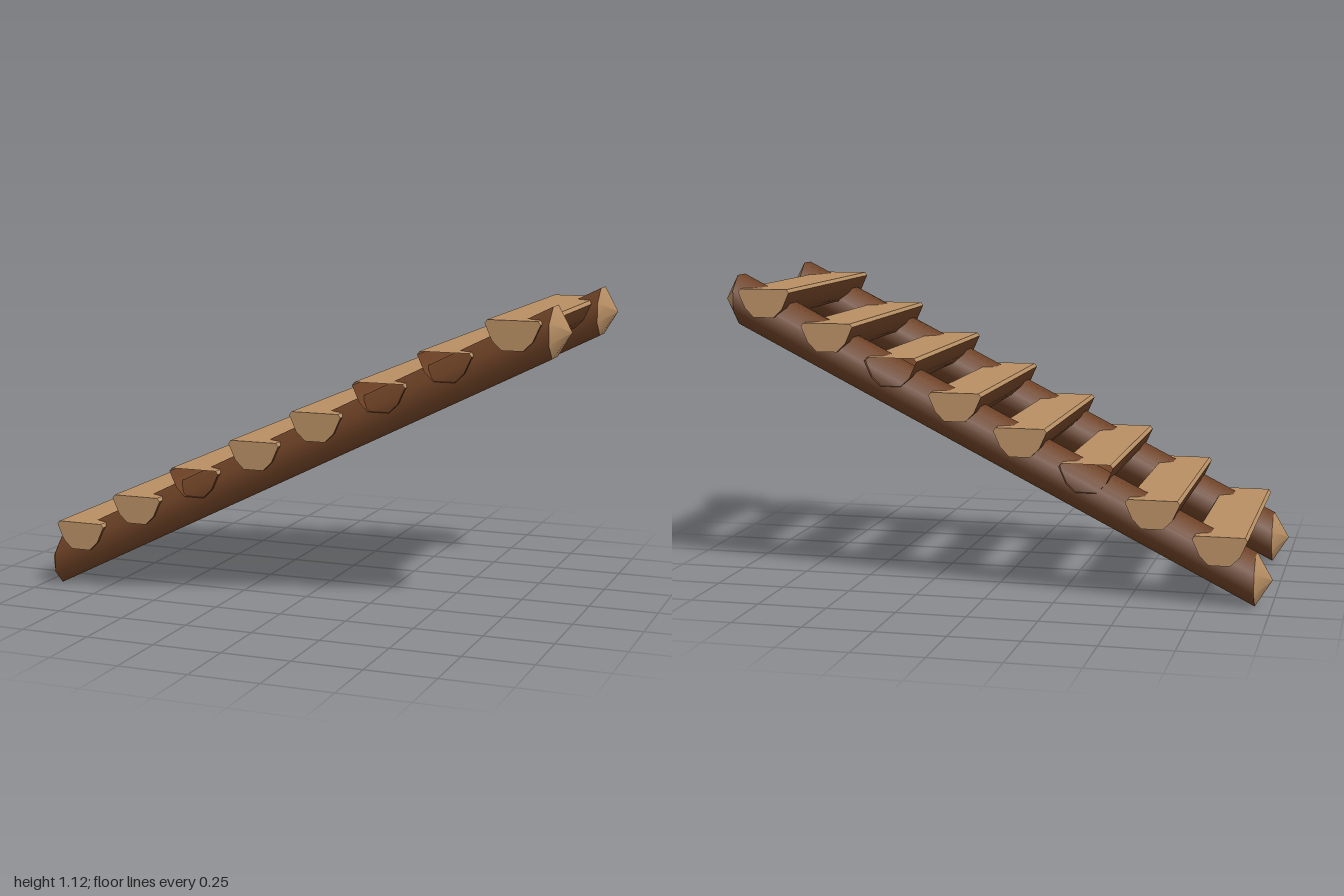
import * as THREE from 'three';

const bark = new THREE.MeshStandardMaterial({ color: 0x6e4226, side: THREE.DoubleSide });
bark.name = 'bark brown';
const cutWood = new THREE.MeshStandardMaterial({ color: 0xb88f64, side: THREE.DoubleSide });
cutWood.name = 'cut wood tan';

const SLOPE = 0.501;        // rise of the stair per unit of x
const MID_Y = 0.56;         // height of the rail axis at x = 0
const RAIL_END = 0.942;     // x where the rail stops and its pointed end begins
const RAIL_R = 0.088 / Math.cos(Math.PI / 8);
const HALF_DEPTH = 0.455;   // half the tread length along z

function addMesh(parent, name, geometry, material) {
  const mesh = new THREE.Mesh(geometry, material);
  mesh.name = name;
  parent.add(mesh);
  return mesh;
}

// Sweep an open profile along z, smooth across its points
function sweep(points) {
  const positions = [];
  const index = [];
  points.forEach(([x, y], i) => {
    positions.push(x, y, HALF_DEPTH, x, y, -HALF_DEPTH);
    if (i === 0) return;
    const a = 2 * (i - 1);
    index.push(a, a + 2, a + 3, a, a + 3, a + 1);
  });
  const geometry = new THREE.BufferGeometry();
  geometry.setAttribute('position', new THREE.Float32BufferAttribute(positions, 3));
  geometry.setIndex(index);
  geometry.computeVertexNormals();
  return geometry;
}

// Octagonal log lying along the slope, its ends cut upright and pointed
function makeRail(name) {
  const rail = new THREE.Group();
  rail.name = name;
  const shear = new THREE.Matrix4().set(
    1, 0, 0, 0,
    SLOPE, 1, 0, 0,
    0, 0, 1, 0,
    0, 0, 0, 1
  );
  const log = new THREE.CylinderGeometry(RAIL_R, RAIL_R, RAIL_END * 2, 8, 1, true, Math.PI / 8);
  log.rotateZ(-Math.PI / 2).applyMatrix4(shear);
  addMesh(rail, 'railLog', log, bark);

  for (const side of [-1, 1]) {
    const tip = 1 - RAIL_END;
    const point = new THREE.ConeGeometry(RAIL_R, tip, 8, 1, true, Math.PI / 8);
    point.rotateZ(-side * Math.PI / 2);
    point.translate(side * tip / 2, 0, 0);
    const end = addMesh(rail, side > 0 ? 'upperRailEnd' : 'lowerRailEnd', point, cutWood);
    end.position.set(side * RAIL_END, side * RAIL_END * SLOPE, 0);
  }
  return rail;
}

// Split-log tread; y = 0 is its flat top
const TOP = [[-0.087, 0], [0.087, 0]];
const RIGHT_LIP = [[0.087, 0], [0.096, -0.012]];
const UNDERSIDE = [
  [0.096, -0.012], [0.07, -0.07], [0.037, -0.102],
  [-0.037, -0.102], [-0.07, -0.07], [-0.096, -0.012]
];
const LEFT_LIP = [[-0.096, -0.012], [-0.087, 0]];

function makeTread(name, hasFrontEnd, hasBackEnd) {
  const tread = new THREE.Group();
  tread.name = name;
  addMesh(tread, 'treadTop', sweep(TOP), cutWood);
  addMesh(tread, 'upperLip', sweep(RIGHT_LIP), cutWood);
  addMesh(tread, 'lowerLip', sweep(LEFT_LIP), cutWood);
  addMesh(tread, 'treadUnderside', sweep(UNDERSIDE), bark);

  const outline = [...TOP, ...UNDERSIDE].map(([x, y]) => new THREE.Vector2(x, y));
  const endGeometry = new THREE.ShapeGeometry(new THREE.Shape(outline));
  if (hasFrontEnd) {
    addMesh(tread, 'frontEnd', endGeometry, cutWood).position.z = HALF_DEPTH;
  }
  if (hasBackEnd) {
    const back = addMesh(tread, 'backEnd', endGeometry, cutWood);
    back.rotation.y = Math.PI;
    back.position.z = -HALF_DEPTH;
  }
  return tread;
}

export function createModel() {
  const stair = new THREE.Group();
  stair.name = 'logStair';

  for (const side of [1, -1]) {
    const rail = makeRail(side > 0 ? 'frontRail' : 'backRail');
    rail.position.set(0, MID_Y, side * 0.353);
    stair.add(rail);
  }

  // Some treads are hollow at one or both ends
  const openFront = [2, 5, 6];
  const openBack = [2, 5];
  for (let i = 0; i < 8; i++) {
    const tread = makeTread('tread' + (i + 1), !openFront.includes(i), !openBack.includes(i));
    tread.position.set(-0.824 + i * 0.235, 0.254 + i * 0.1174, 0);
    stair.add(tread);
  }
  return stair;
}
